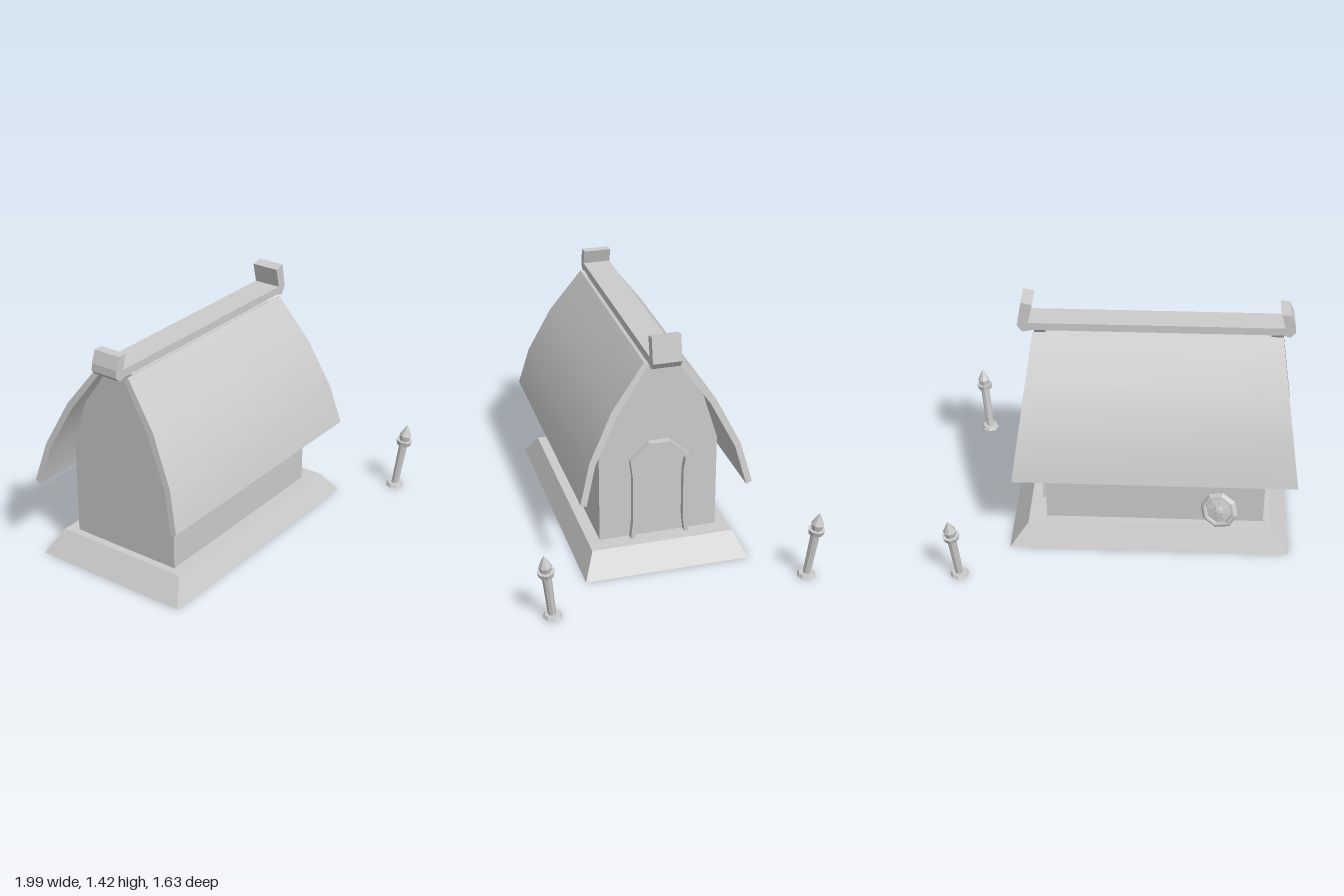
import * as THREE from 'three';
import { toCreasedNormals } from 'three/addons/utils/BufferGeometryUtils.js';

const flat = new THREE.MeshStandardMaterial({ color: 0xcccccc, flatShading: true });
const smooth = new THREE.MeshStandardMaterial({ color: 0xcccccc });
const open = new THREE.MeshStandardMaterial({ color: 0xcccccc, flatShading: true, side: THREE.DoubleSide });
const UP = new THREE.Vector3(0, 1, 0);

function add(parent, name, geometry, material = flat) {
  const mesh = new THREE.Mesh(geometry, material);
  mesh.name = name;
  parent.add(mesh);
  return mesh;
}

// Extrudes a [z, y] outline along x
function extrudeX(points, x0, x1) {
  const shape = new THREE.Shape(points.map(([z, y]) => new THREE.Vector2(-z, y)));
  const g = new THREE.ExtrudeGeometry(shape, { depth: x1 - x0, bevelEnabled: false });
  return g.rotateY(Math.PI / 2).translate(x0, 0, 0);
}

// Completes a right-hand half outline with its mirror image
const mirrored = (half) => [...half, ...half.map(([z, y]) => [-z, y]).reverse()];

// Sloped plinth, hollow underneath
function plinthGeometry() {
  const g = new THREE.BoxGeometry(2, 1, 2);
  const p = g.attributes.position;
  for (let i = 0; i < p.count; i++) {
    const top = p.getY(i) > 0;
    p.setXYZ(i, -0.163 + p.getX(i) * (top ? 0.707 : 0.812), top ? 0.133 : 0, p.getZ(i) * (top ? 0.415 : 0.48));
  }
  const index = Array.from(g.index.array);
  index.splice(18, 6); // no bottom face
  g.setIndex(index);
  g.clearGroups();
  g.computeVertexNormals();
  return g;
}

// Curved roof slab whose ends flare outwards towards the eaves
function roofGeometry(side) {
  const outline = [
    [0.106, 1.248], [0.296, 0.996], [0.434, 0.721], [0.497, 0.487],
    [0.463, 0.472], [0.402, 0.702], [0.264, 0.972], [0.078, 1.23],
  ].map(([z, y]) => [z * side, y]);
  const g = extrudeX(outline, -0.89, 0.51);
  const p = g.attributes.position;
  for (let i = 0; i < p.count; i++) {
    const flare = 0.11 * (1.248 - p.getY(i)) / 0.765;
    p.setX(i, p.getX(i) + (p.getX(i) > 0 ? flare : -flare));
  }
  return toCreasedNormals(g, 0.5);
}

// Ridge beam with upturned ends
function ridgeGeometry() {
  const points = [
    [-0.928, 1.374], [-0.874, 1.374], [-0.9, 1.29], [0.537, 1.29], [0.51, 1.405], [0.573, 1.42],
    [0.6, 1.272], [0.57, 1.232], [0.51, 1.245], [-0.89, 1.245], [-0.928, 1.232], [-0.958, 1.262], [-0.955, 1.305],
  ];
  const shape = new THREE.Shape(points.map(([x, y]) => new THREE.Vector2(x, y)));
  return new THREE.ExtrudeGeometry(shape, { depth: 0.164, bevelEnabled: false }).translate(0, 0, -0.082);
}

// Leaning post with a collar and a pointed cap
function makePost(side) {
  const post = new THREE.Group();
  post.name = 'post';
  post.position.set(0.911, 0, 0.733 * side);
  add(post, 'postFoot', new THREE.CylinderGeometry(0.045, 0.055, 0.02, 8).translate(0, 0.01, 0));
  const leaning = new THREE.Group();
  leaning.name = 'leaningPost';
  leaning.quaternion.setFromUnitVectors(UP, new THREE.Vector3(0.036, 0.415, 0.046 * side).normalize());
  const profile = [
    [0, 0.01], [0.023, 0.01], [0.027, 0.285], [0.042, 0.285], [0.05, 0.315],
    [0.03, 0.315], [0.037, 0.348], [0, 0.42],
  ].map(([r, y]) => new THREE.Vector2(r, y));
  add(leaning, 'postShaftAndCap', new THREE.LatheGeometry(profile, 8));
  post.add(leaning);
  return post;
}

export function createModel() {
  const model = new THREE.Group();
  model.name = 'house';

  add(model, 'plinth', plinthGeometry(), open);

  // Walls with both gables
  add(model, 'walls', extrudeX(mirrored([[0.345, 0.133], [0.345, 0.7], [0.26, 0.97], [0.07, 1.24]]), -0.825, 0.44));

  // Raised arch around the doorway
  const outer = [[0.171, 0.133], [0.16, 0.235], [0.16, 0.53], [0.172, 0.63], [0.062, 0.732]];
  const inner = [[0.148, 0.133], [0.137, 0.235], [0.137, 0.53], [0.15, 0.612], [0.053, 0.71]];
  add(model, 'doorFrame', extrudeX([...mirrored(outer), ...mirrored(inner).reverse()], 0.43, 0.48));

  for (const side of [1, -1]) {
    add(model, side > 0 ? 'frontRoof' : 'backRoof', roofGeometry(side), smooth);
    model.add(makePost(side));
  }
  add(model, 'ridgeBeam', ridgeGeometry());

  // Eight-sided shield resting against the back wall
  const shieldProfile = [
    [0, -0.02], [0.1, -0.02], [0.112, 0], [0.095, 0.022], [0.082, 0.022],
    [0.076, 0.008], [0.03, 0.016], [0.024, 0.03], [0, 0.034],
  ].map(([r, y]) => new THREE.Vector2(r, y));
  const shield = add(model, 'shield', new THREE.LatheGeometry(shieldProfile, 8, Math.PI / 8));
  shield.position.set(-0.565, 0.25, -0.4);
  shield.quaternion.setFromUnitVectors(UP, new THREE.Vector3(0.26, 0.22, -0.94).normalize());

  return model;
}
